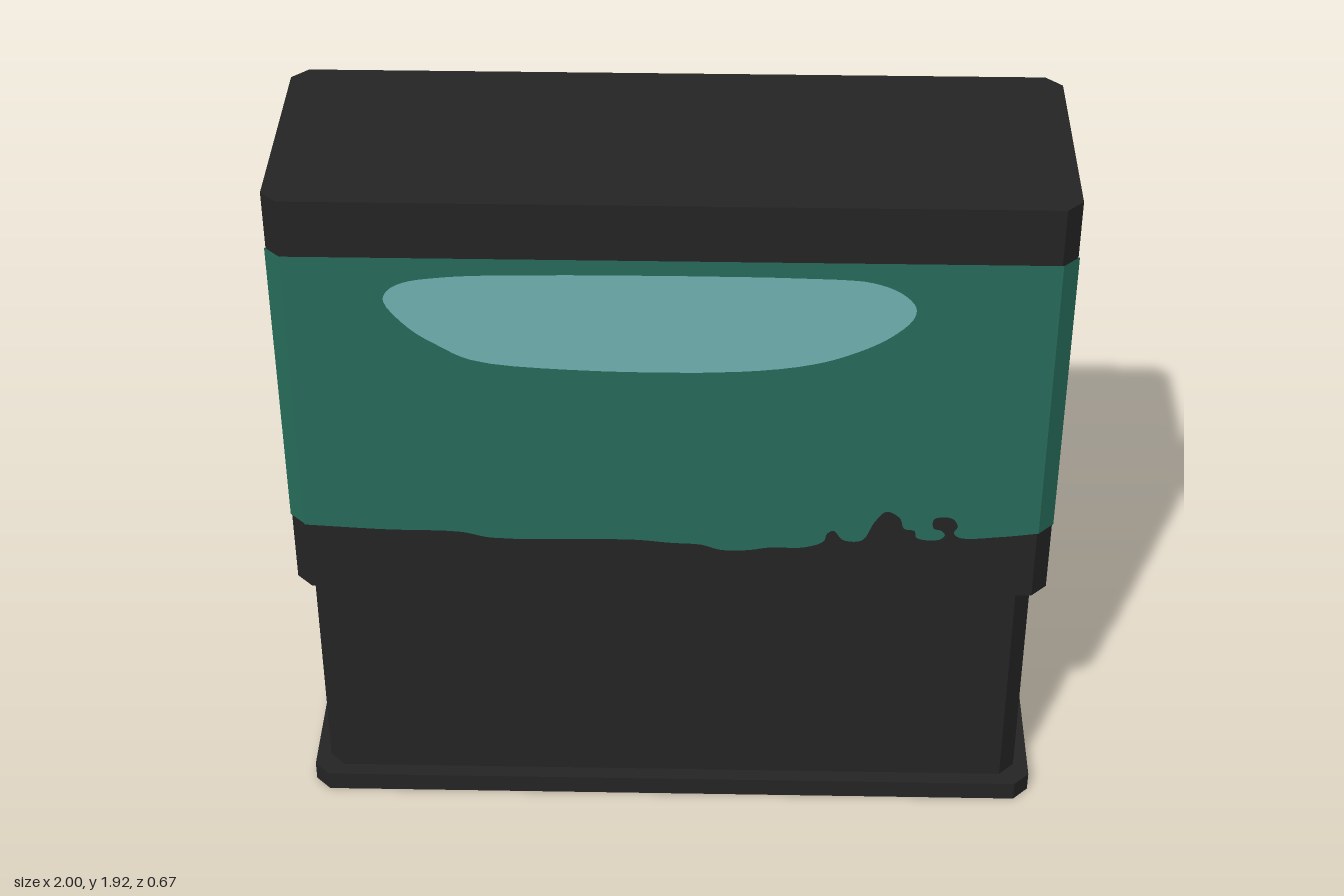
import * as THREE from 'three';

const HX = 1, HZ = 0.333, CUT = 0.042; // half width, half depth, corner chamfer
const GLASS_LOW = 0.94, GLASS_HIGH = 1.765, SKIN = 0.003;

const trim = new THREE.MeshStandardMaterial({ color: 0x242424 });
trim.name = 'blackTrim';
const glass = new THREE.MeshStandardMaterial({ color: 0x276c5b });
glass.name = 'tealGlass';
const shine = new THREE.MeshStandardMaterial({ color: 0x70b3b2 });
shine.name = 'paleReflection';

// Rectangle with chamfered corners, counter-clockwise
function outline(hx, hz, c) {
  return [
    [hx - c, -hz], [hx, -hz + c], [hx, hz - c], [hx - c, hz],
    [-hx + c, hz], [-hx, hz - c], [-hx, -hz + c], [-hx + c, -hz],
  ].map(([x, y]) => new THREE.Vector2(x, y));
}

// Upright chamfered prism; an inner outline makes it a hollow sleeve
function prism(name, outer, y0, y1, inner) {
  const shape = new THREE.Shape(outer);
  if (inner) shape.holes.push(new THREE.Path(inner));
  const geo = new THREE.ExtrudeGeometry(shape, { depth: y1 - y0, bevelEnabled: false });
  geo.rotateX(-Math.PI / 2).translate(0, y0, 0);
  const mesh = new THREE.Mesh(geo, trim);
  mesh.name = name;
  return mesh;
}

// Flat painted face, for the front (side = 1) or the back (side = -1)
function paintedFace(name, points, material, side, offset) {
  const shape = new THREE.Shape(points.map(p => new THREE.Vector2(p.x * side, p.y)));
  const geo = new THREE.ShapeGeometry(shape);
  if (side < 0) geo.rotateY(Math.PI);
  geo.translate(0, 0, side * (HZ + offset));
  const mesh = new THREE.Mesh(geo, material);
  mesh.name = name;
  return mesh;
}

const smooth = (pts, closed, n) => new THREE.CatmullRomCurve3(
  pts.map(([x, y]) => new THREE.Vector3(x, y, 0)), closed, 'centripetal').getPoints(n);

// Gravel line with small plants, left to right
const gravel = [
  [-0.958, 0.937], [-0.75, 0.925], [-0.55, 0.92], [-0.47, 0.902], [-0.1, 0.902],
  [0, 0.893], [0.08, 0.888], [0.13, 0.872], [0.2, 0.872], [0.26, 0.882], [0.35, 0.884],
  [0.4, 0.905], [0.408, 0.93], [0.425, 0.94], [0.45, 0.91], [0.5, 0.91], [0.53, 0.97],
  [0.56, 1.005], [0.595, 0.985], [0.608, 0.95], [0.635, 0.943], [0.642, 0.92],
  [0.7, 0.915], [0.715, 0.93], [0.705, 0.945], [0.685, 0.952], [0.685, 0.983],
  [0.73, 0.986], [0.747, 0.96], [0.738, 0.938], [0.755, 0.922], [0.86, 0.927], [0.958, 0.94],
];

// Reflection near the top of the glass
const reflection = [
  [-0.71, 1.64], [-0.7, 1.67], [-0.66, 1.695], [-0.58, 1.71], [-0.43, 1.72], [0.4, 1.72],
  [0.5, 1.71], [0.57, 1.68], [0.605, 1.64], [0.6, 1.605], [0.545, 1.55], [0.465, 1.505],
  [0.36, 1.468], [0.17, 1.442], [-0.26, 1.442], [-0.5, 1.468], [-0.58, 1.51], [-0.65, 1.56],
];

export function createModel() {
  const model = new THREE.Group();
  model.name = 'aquarium';

  // Hollow cabinet on a hollow foot, open underneath
  const standOuter = outline(0.96, 0.292, CUT);
  const standInner = outline(0.952, 0.284, CUT);
  model.add(
    prism('foot', outline(HX, HZ, CUT), 0, 0.055, standInner),
    prism('cabinet', standOuter, 0.055, 0.73, standInner),
    prism('tank', outline(HX - SKIN, HZ - SKIN, CUT), 0.73, 1.92),
  );

  // Front and back panes with reflections
  const pane = [
    ...smooth(gravel, false, 160),
    new THREE.Vector3(HX - CUT, GLASS_HIGH, 0),
    new THREE.Vector3(-HX + CUT, GLASS_HIGH, 0),
  ];
  const gleam = smooth(reflection, true, 72).slice(0, -1);
  for (const [side, word] of [[1, 'front'], [-1, 'back']]) {
    model.add(
      paintedFace(word + 'Pane', pane, glass, side, 0),
      paintedFace(word + 'Reflection', gleam, shine, side, SKIN),
    );
  }

  // Side panes and chamfered corner strips
  const height = GLASS_HIGH - GLASS_LOW;
  const addStrip = (name, width, x, z, angle) => {
    const strip = new THREE.Mesh(new THREE.PlaneGeometry(width, height), glass);
    strip.name = name;
    strip.position.set(x, (GLASS_LOW + GLASS_HIGH) / 2, z);
    strip.rotation.y = angle;
    model.add(strip);
  };
  for (const sx of [1, -1]) {
    addStrip(sx > 0 ? 'leftPane' : 'rightPane', 2 * (HZ - CUT), sx * HX, 0, sx * Math.PI / 2);
    for (const sz of [1, -1]) {
      addStrip('cornerPane', CUT * Math.SQRT2, sx * (HX - CUT / 2), sz * (HZ - CUT / 2),
        Math.atan2(sx, sz));
    }
  }
  return model;
}
